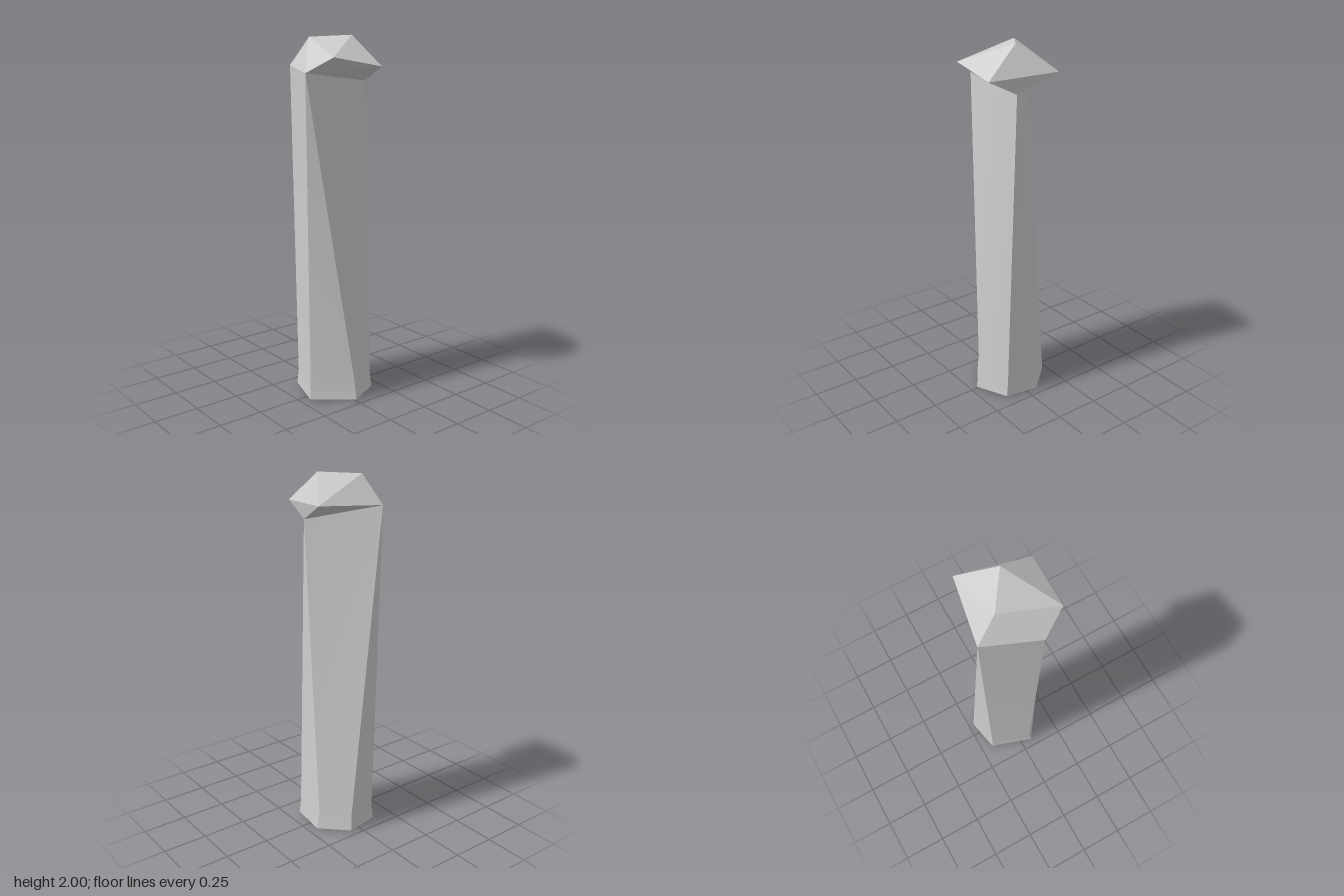
import * as THREE from 'three';
import { toCreasedNormals } from 'three/addons/utils/BufferGeometryUtils.js';

// Corner points of the crystal-like pillar
const P = {
  // cap rim and ridge
  A: [-0.155, 1.86, -0.233], B: [0.22, 1.84, -0.152], C: [0.203, 1.89, 0.152],
  D: [0.068, 1.81, 0.23], E: [-0.22, 1.84, 0.123],
  F: [-0.105, 1.99, 0.078], G: [0.025, 2.0, -0.108],
  // back corner of the shaft top
  H: [0.06, 1.76, -0.17],
};
// Foot outline and the slightly inset ring above it, counter-clockwise from above
const foot = [[-0.18, 0.005, 0.125], [0.065, 0.015, 0.21], [0.215, 0.01, 0],
  [0.13, 0.01, -0.182], [-0.07, 0, -0.2], [-0.22, 0.01, -0.068]];
const ring = [[-0.175, 0.09, 0.118], [0.055, 0.11, 0.2], [0.198, 0.11, 0],
  [0.12, 0.1, -0.177], [-0.07, 0.1, -0.182], [-0.216, 0.1, -0.064]];
foot.forEach((p, i) => { P['f' + i] = p; });
ring.forEach((p, i) => { P['r' + i] = p; });

// Triangles written as space-separated corner names
function facets(list, crease) {
  const pos = list.flatMap((t) => t.split(' ').flatMap((k) => P[k]));
  const g = new THREE.BufferGeometry();
  g.setAttribute('position', new THREE.Float32BufferAttribute(pos, 3));
  g.computeVertexNormals();
  return crease ? toCreasedNormals(g, crease) : g;
}

export function createModel() {
  const group = new THREE.Group();
  group.name = 'stonePillar';
  const stone = new THREE.MeshStandardMaterial({ color: 0xcccccc, side: THREE.DoubleSide });
  stone.name = 'paleGreyStone';
  const add = (name, geometry) => {
    const mesh = new THREE.Mesh(geometry, stone);
    mesh.name = name;
    group.add(mesh);
  };

  // Faceted cap with its overhanging underside
  add('cap', facets(['E D F', 'D C F', 'C G F', 'C B G', 'B A G', 'A F G', 'A E F',
    'C D B', 'B D H', 'B H A', 'A H E']));

  // Twisted shaft, from a triangle at the top to a hexagon, with an open flared foot
  const shaft = ['E r0 D', 'D r0 r1', 'D r1 r2', 'D r2 H', 'H r2 r3',
    'H r3 r4', 'H r4 E', 'E r4 r5', 'E r5 r0'];
  for (let i = 0; i < 6; i++) {
    const j = (i + 1) % 6;
    shaft.push(`f${i} f${j} r${i}`, `f${j} r${j} r${i}`);
  }
  add('shaft', facets(shaft, 0.6));

  return group;
}
